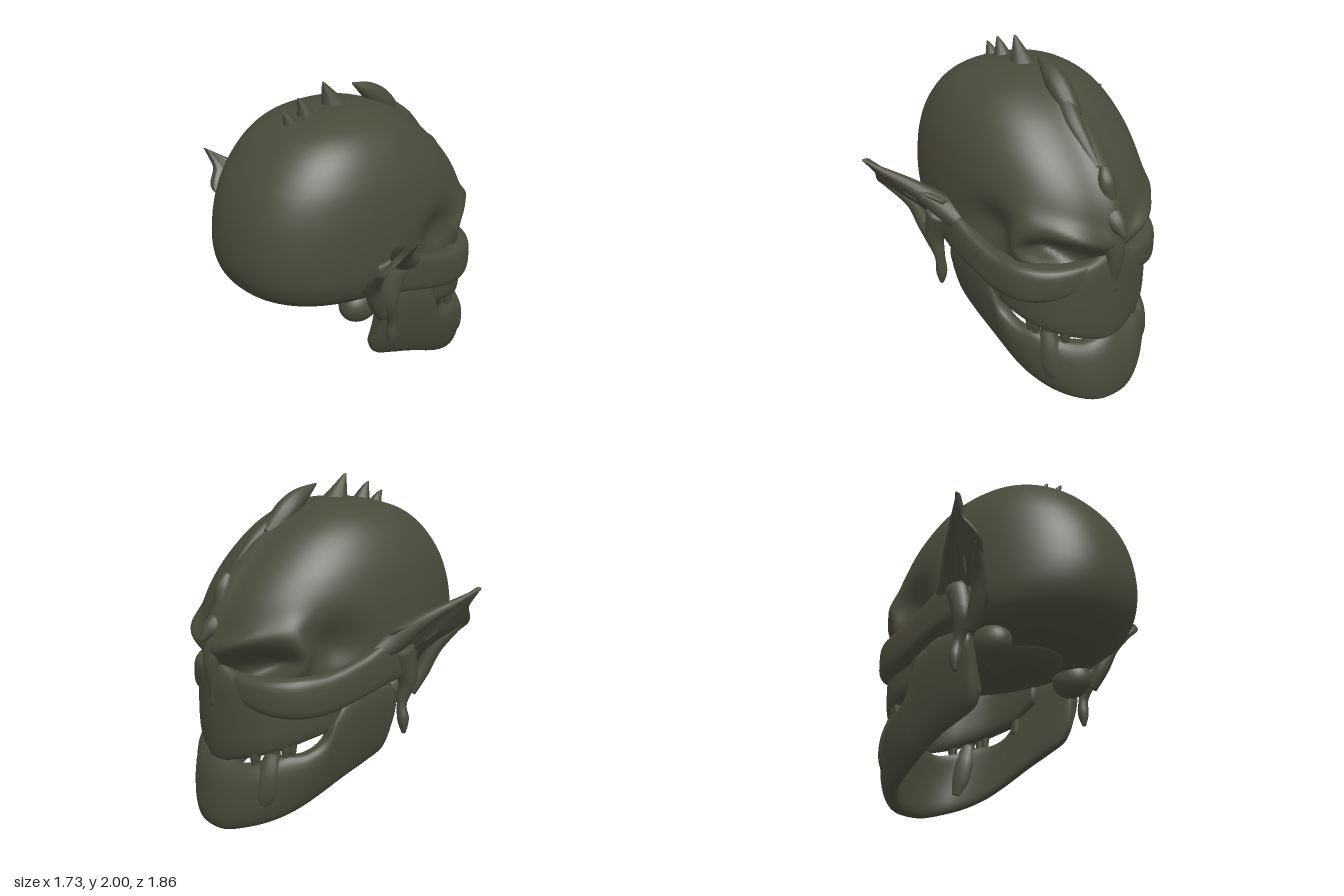
import * as THREE from 'three';
import { toCreasedNormals } from 'three/addons/utils/BufferGeometryUtils.js';

const hide = new THREE.MeshStandardMaterial({ color: 0x4a4a3b });
hide.name = 'dark olive';

const V = (x, y, z) => new THREE.Vector3(x, y, z);
const gauss = (d, s) => Math.exp(-(d * d) / (2 * s * s));
const spow = (a, p) => Math.sign(a) * Math.abs(a) ** p;

function add(parent, geometry, name) {
  const mesh = new THREE.Mesh(geometry, hide);
  mesh.name = name;
  parent.add(mesh);
  return mesh;
}

// Smooth interpolation of a table of stations, column by column
function sample(rows, n) {
  const at = (i) => rows[Math.min(rows.length - 1, Math.max(0, i))];
  return Array.from({ length: n + 1 }, (_, k) => {
    const u = (k / n) * (rows.length - 1);
    const i = Math.min(rows.length - 2, Math.floor(u));
    const t = u - i;
    return rows[0].map((_, c) => {
      const [a, b, d, e] = [at(i - 1)[c], at(i)[c], at(i + 1)[c], at(i + 2)[c]];
      return b + 0.5 * t * (d - a + t * (2 * a - 5 * b + 4 * d - e + t * (3 * (b - d) + e - a)));
    });
  });
}

// Skin over closed rings of points, capped at both ends and always facing outwards
function loft(rings) {
  const n = rings[0].length, m = rings.length;
  const pts = rings.flat();
  const centre = (ring) => ring.reduce((s, p) => s.add(p), V(0, 0, 0)).divideScalar(n);
  pts.push(centre(rings[0]), centre(rings[m - 1]));
  const index = [];
  for (let j = 0; j < n; j++) {
    const k = (j + 1) % n;
    for (let i = 0; i < m - 1; i++) {
      const a = i * n + j, b = i * n + k;
      index.push(a, b, a + n, b, b + n, a + n);
    }
    index.push(m * n, k, j, m * n + 1, (m - 1) * n + j, (m - 1) * n + k);
  }
  let volume = 0;
  for (let i = 0; i < index.length; i += 3) {
    volume += pts[index[i]].dot(V(0, 0, 0).crossVectors(pts[index[i + 1]], pts[index[i + 2]]));
  }
  if (volume < 0) index.reverse();
  const g = new THREE.BufferGeometry().setFromPoints(pts);
  g.setIndex(index);
  g.computeVertexNormals();
  return g;
}

// Round limb through rows of [x, y, z, radius]; s mirrors it
function limb(rows, s = 1, n = 20) {
  const st = sample(rows, n);
  const curve = new THREE.CatmullRomCurve3(st.map(([x, y, z]) => V(x, y, z * s)));
  const frames = curve.computeFrenetFrames(n);
  return loft(st.map((r, i) => Array.from({ length: 14 }, (_, j) => {
    const a = (j / 14) * Math.PI * 2, rad = Math.max(0.003, r[3]);
    return V(r[0], r[1], r[2] * s)
      .addScaledVector(frames.normals[i], Math.cos(a) * rad)
      .addScaledVector(frames.binormals[i], Math.sin(a) * rad);
  })));
}

// Upright bone plate along a plan curve, rows of [x, z, yBottom, yTop, thickness];
// lean draws the lower edge inwards, setback moves the upper edge back
function plate(rows, n, lean = 0, setback = 0) {
  const st = sample(rows, n);
  return loft(st.map((r, i) => {
    const a = st[Math.max(0, i - 1)], b = st[Math.min(n, i + 1)];
    const len = Math.hypot(b[0] - a[0], b[1] - a[1]) || 1;
    const nx = (b[1] - a[1]) / len, nz = -(b[0] - a[0]) / len;
    return Array.from({ length: 28 }, (_, j) => {
      const q = (j / 28) * Math.PI * 2;
      const o = spow(Math.cos(q), 0.6) * r[4] / 2;
      const v = 0.5 + 0.5 * spow(Math.sin(q), 0.6);
      const x = (r[0] + nx * o) - setback * v ** 3 * Math.max(0, r[0]);
      return V(x, r[2] + v * (r[3] - r[2]), (r[1] + nz * o) * (1 - lean * (1 - v) ** 2));
    });
  }));
}
const mirrorRows = (half) => [...half, ...half.slice(0, -1).reverse().map(([x, z, ...rest]) => [x, -z, ...rest])];

// Brain case: level rings [y, back x, front x, half width], with brow, sockets and temples
function craniumGeometry() {
  const rows = [
    [0.77, -0.2, -0.1, 0.03], [0.78, -0.48, 0.45, 0.3], [0.81, -0.63, 0.6, 0.43], [0.87, -0.76, 0.69, 0.51],
    [0.97, -0.835, 0.75, 0.55], [1.1, -0.867, 0.78, 0.562], [1.25, -0.858, 0.755, 0.56], [1.4, -0.82, 0.68, 0.545],
    [1.55, -0.745, 0.56, 0.51], [1.7, -0.62, 0.4, 0.435], [1.8, -0.47, 0.24, 0.33], [1.855, -0.27, 0.1, 0.18],
    [1.872, -0.12, -0.02, 0.03],
  ];
  return loft(sample(rows, 110).map(([y, xb, xf, hw]) => Array.from({ length: 160 }, (_, j) => {
    const a = (j / 160) * Math.PI * 2;
    let x = (xb + xf) / 2 + spow(Math.cos(a), 0.87) * (xf - xb) / 2;
    let z = spow(Math.sin(a), 0.87) * hw;
    const w = Math.abs(z);
    if (x > 0) {
      const front = Math.min(1, x / 0.45);
      const temple = 0.09 * gauss(x - 0.28, 0.11) * gauss(y - 1.09, 0.11);
      const rim = 0.055 * gauss(x - 0.52, 0.055) * gauss(y - 1.06, 0.12);
      x += front * (0.065 * gauss(y - 1.13 - (w - 0.25) * 0.4, 0.05) * gauss(w - 0.24, 0.14)
        - 0.2 * gauss(y - 1.0 - (w - 0.28) * 0.35, 0.055) * gauss(w - 0.27, 0.09)
        + 0.035 * gauss(w, 0.045) * (y > 1.05 ? 1 : 0.5));
      z -= Math.sign(z) * (temple - rim) * Math.min(1, w / 0.3);
    }
    return V(x, y, z);
  })));
}

// Flat pointed ear with a slit, tilted away from the head; s is the side
function earGeometry(s) {
  const outline = [[-0.33, 1.41], [-0.29, 1.345], [-0.24, 1.29], [-0.15, 1.22], [-0.04, 1.165], [-0.05, 1.08], [-0.1, 0.95],
    [-0.3, 0.9], [-0.37, 1.03], [-0.42, 1.13], [-0.437, 1.18], [-0.415, 1.225], [-0.36, 1.29], [-0.345, 1.34]];
  const curve = new THREE.SplineCurve(outline.map(([x, y]) => new THREE.Vector2(x, y)));
  const shape = new THREE.Shape(curve.getPoints(52));
  const slit = new THREE.Path();
  slit.absellipse(-0.275, 1.11, 0.022, 0.055, 0, Math.PI * 2, true, 0.5);
  shape.holes.push(slit);
  const g = new THREE.ExtrudeGeometry(shape, {
    depth: 0.02, bevelThickness: 0.014, bevelSize: 0.01, bevelOffset: -0.01, bevelSegments: 3, curveSegments: 8,
  });
  const p = g.attributes.position;
  for (let i = 0; i < p.count; i++) {
    const x = p.getX(i), y = p.getY(i);
    const flare = -1.004 - 0.42 * x + 0.89 * y;
    const base = s > 0 ? 0.54 + flare * 0.95 : 0.59 + flare * 0.84;
    p.setX(i, s > 0 ? x : x - Math.max(0, flare) ** 2 * 0.66);
    p.setZ(i, s * base + p.getZ(i) - 0.01);
  }
  return toCreasedNormals(g, 0.9);
}

export function createModel() {
  const model = new THREE.Group();
  model.name = 'hornedSkull';
  const skull = new THREE.Group();
  skull.name = 'skull';
  skull.position.z = -0.035;
  model.add(skull);

  add(skull, craniumGeometry(), 'cranium');

  // Upper jaw and lower jaw, both hollow arches
  add(skull, plate(mirrorRows([
    [0.1, 0.42, 0.7, 0.86, 0.08], [0.28, 0.425, 0.6, 0.88, 0.1], [0.44, 0.405, 0.56, 0.88, 0.12], [0.57, 0.34, 0.51, 0.88, 0.13],
    [0.665, 0.25, 0.47, 0.9, 0.12], [0.725, 0.13, 0.43, 0.95, 0.11], [0.745, 0, 0.39, 1, 0.11],
  ]), 80), 'upperJaw');
  add(skull, plate(mirrorRows([
    [-0.165, 0.475, 0.47, 0.76, 0.06], [-0.12, 0.475, 0.385, 0.82, 0.09], [0, 0.475, 0.335, 0.83, 0.11], [0.14, 0.475, 0.285, 0.82, 0.11],
    [0.28, 0.46, 0.22, 0.72, 0.11], [0.36, 0.445, 0.18, 0.56, 0.11], [0.48, 0.415, 0.125, 0.49, 0.11], [0.6, 0.36, 0.08, 0.48, 0.11],
    [0.71, 0.27, 0.045, 0.44, 0.11], [0.78, 0.14, 0.012, 0.41, 0.11], [0.8, 0, 0.005, 0.44, 0.11],
  ]), 110, 0.16, 0.08), 'lowerJaw');

  // Nose ridge and forehead crest
  add(skull, limb([[0.76, 1.14, 0, 0.06], [0.78, 1.02, 0, 0.06], [0.785, 0.93, 0, 0.047], [0.765, 0.82, 0, 0.042], [0.765, 0.74, 0, 0.04], [0.75, 0.7, 0, 0.02]]), 'noseRidge');
  const spikes = [
    [[-0.4, 1.79, 0, 0.05], [-0.43, 1.85, 0, 0.025], [-0.46, 1.885, 0, 0.005]],
    [[-0.29, 1.81, 0, 0.065], [-0.32, 1.89, 0, 0.032], [-0.35, 1.945, 0, 0.005]],
    [[-0.09, 1.83, 0, 0.085], [-0.13, 1.915, 0, 0.045], [-0.17, 2, 0, 0.007]],
    [[0.4, 1.67, 0, 0.05], [0.28, 1.79, 0, 0.07], [0.18, 1.875, 0, 0.055], [0.05, 1.95, 0, 0.006]],
    [[0.63, 1.46, 0.02, 0.03], [0.53, 1.57, 0.03, 0.04], [0.42, 1.67, 0.03, 0.055], [0.3, 1.77, 0, 0.05]],
    [[0.66, 1.48, 0, 0.025], [0.695, 1.41, 0.01, 0.05], [0.72, 1.3, 0, 0.045], [0.75, 1.18, 0, 0.04]],
    [[0.7, 1.24, 0, 0.07], [0.79, 1.18, 0, 0.055], [0.86, 1.12, 0, 0.01]],
  ];
  spikes.forEach((rows, i) => add(skull, limb(rows), 'crestSpike' + (i + 1)));

  // Skull base
  const lump = (name, x, y, z, a, b, c) => {
    const mesh = add(skull, new THREE.SphereGeometry(1, 28, 18), name);
    mesh.position.set(x, y, z);
    mesh.scale.set(a, b, c);
  };
  lump('skullBase', -0.15, 0.8, 0, 0.24, 0.11, 0.24);

  for (const s of [1, -1]) {
    const side = s > 0 ? 'left' : 'right';
    lump(side + 'Mastoid', -0.22, 0.75, s * 0.37, 0.13, 0.11, 0.1);

    // Cheekbone
    add(skull, plate([
      [-0.25, 0.54, 0.88, 1.08, 0.08], [-0.05, 0.555, 0.85, 1.1, 0.09], [0.15, 0.54, 0.79, 1.02, 0.1], [0.35, 0.505, 0.73, 0.96, 0.12],
      [0.51, 0.445, 0.715, 0.95, 0.15], [0.62, 0.345, 0.73, 0.94, 0.15], [0.69, 0.21, 0.77, 0.94, 0.12], [0.72, 0.08, 0.8, 0.95, 0.08],
    ].map(([x, z, ...rest]) => [x, z * s, ...rest]), 48), side + 'Cheekbone');

    // Teeth bridging the mouth gap, and the raised lower canine root
    const teeth = [[0.51, 0.39, 0.6, 0.47, 0.03], [0.545, 0.375, 0.6, 0.45, 0.03], [0.59, 0.34, 0.57, 0.44, 0.03],
      [0.67, 0.255, 0.54, 0.4, 0.035]];
    teeth.forEach(([x, z, top, tip, r], i) =>
      add(skull, limb([[x, top, z, r], [x + 0.005, (top + tip) / 2, z, r * 0.9], [x, tip, z, r * 0.5]], s, 8), side + 'Tooth' + (i + 1)));
    add(skull, limb([[0.6, 0.5, 0.33, 0.04], [0.62, 0.38, 0.32, 0.075], [0.64, 0.25, 0.305, 0.075], [0.65, 0.15, 0.27, 0.04]], s), side + 'CanineRoot');

    // Sinew at the corner of the mouth
    add(skull, limb([[0.26, 0.8, 0.45, 0.06], [0.27, 0.66, 0.445, 0.05], [0.27, 0.52, 0.44, 0.05]], s), side + 'Sinew');

    // Ear blade, its front and rear roots, and the hanging lobe
    const w = s > 0 ? 0 : 0.05, back = s > 0 ? 0 : -0.1;
    add(model, earGeometry(s), side + 'Ear');
    add(model, limb([
      [0.04, 1.02, 0.51 + w, 0.05], [-0.08, 1.09, 0.55 + w, 0.07], [-0.19, 1.215, 0.68 + w * 0.7, 0.045],
      [-0.28 + back * 0.6, 1.33, 0.83 + w * 0.3, 0.022], [-0.33 + back, 1.405, 0.92, 0.006],
    ], s), side + 'EarFrontRoot');
    add(model, limb([
      [-0.22, 0.76, 0.54 + w, 0.035], [-0.29, 0.88, 0.56 + w, 0.045], [-0.35 + back * 0.05, 1.03, 0.61 + w, 0.04],
      [-0.41 + back * 0.3, 1.17, 0.75 + w * 0.5, 0.015],
    ], s), side + 'EarRearRoot');
    add(model, limb([
      [-0.14, 1.04, 0.54 + w, 0.08], [-0.19, 0.85, 0.555 + w, 0.06], [-0.15, 0.72, 0.55 + w, 0.032],
      [-0.145, 0.61, 0.545 + w * 1.5, 0.034], [-0.15, 0.53, 0.545 + w * 1.5, 0.012],
    ], s), side + 'EarLobe');
  }
  return model;
}
